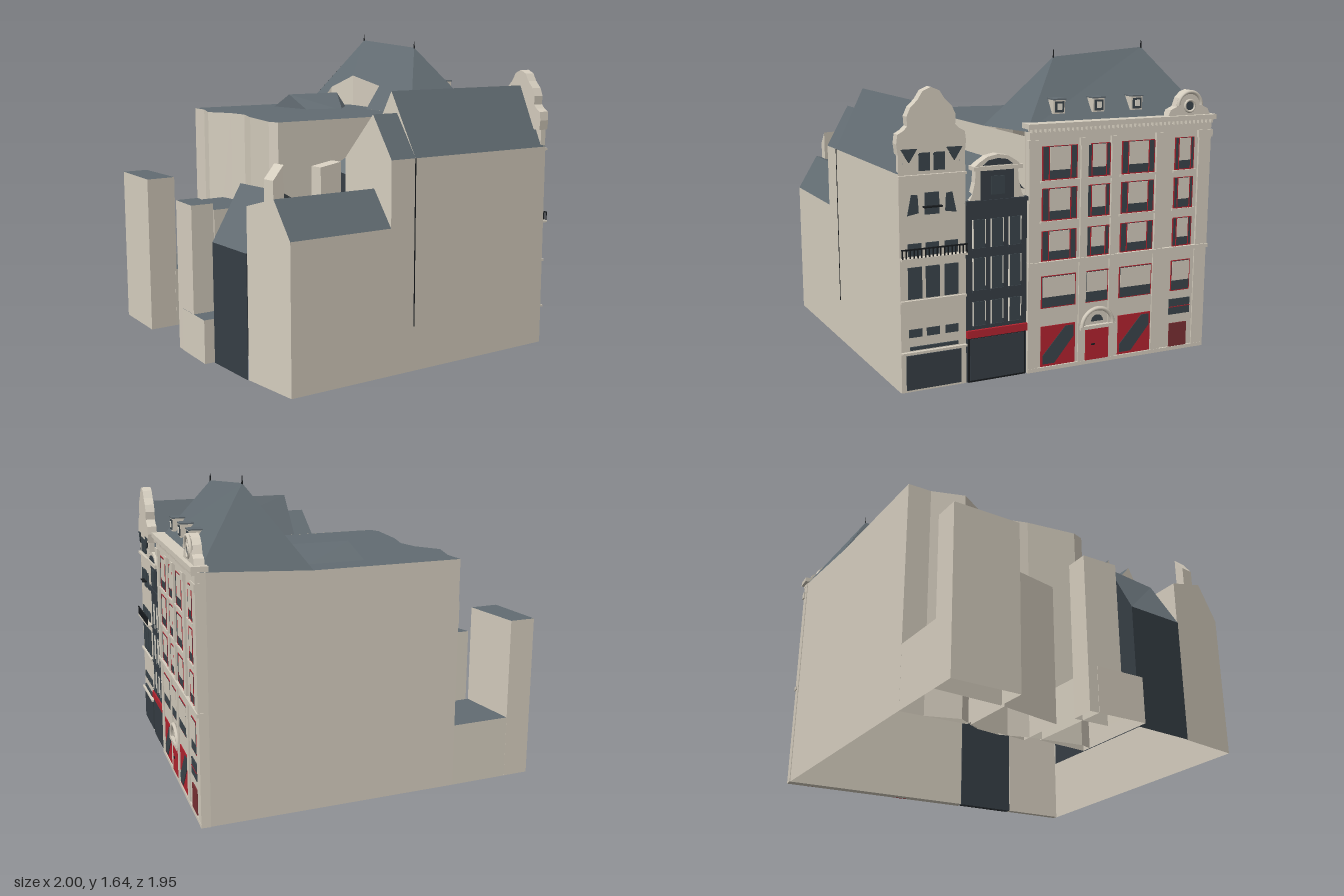
import * as THREE from 'three';
import { ConvexGeometry } from 'three/addons/geometries/ConvexGeometry.js';

const mat = (name, color, side = THREE.FrontSide) => Object.assign(new THREE.MeshStandardMaterial({ color, side }), { name });
const M = {
  stone: mat('stone', 0xd6cebf, THREE.DoubleSide), slate: mat('slate', 0x626c72, THREE.DoubleSide),
  navy: mat('navy', 0x363e45, THREE.DoubleSide), glass: mat('glass', 0x3b454b), red: mat('red', 0xb4232f),
  maroon: mat('maroon', 0x7b3034), black: mat('black', 0x191c1f), cream: mat('cream', 0xe2ddd0),
};

export function createModel() {
  const root = new THREE.Group();
  root.name = 'townhouseRow';
  const add = (parent, name, geo, m) => {
    const mesh = new THREE.Mesh(geo, m);
    mesh.name = name;
    parent.add(mesh);
    return mesh;
  };
  const hull = (name, m, pts) => add(root, name, new ConvexGeometry(pts.map((p) => new THREE.Vector3(...p))), m);
  // open surface made of convex polygons
  const sheets = (name, m, polys) => {
    const pos = [];
    for (const p of polys) for (let i = 1; i < p.length - 1; i++) pos.push(...p[0], ...p[i], ...p[i + 1]);
    const g = new THREE.BufferGeometry().setAttribute('position', new THREE.Float32BufferAttribute(pos, 3));
    g.computeVertexNormals();
    return add(root, name, g, m);
  };
  // run of upright walls through [x, z, top, bottom]
  const walls = (name, m, pts) => sheets(name, m, pts.slice(1).map(([x1, z1, t1, b1 = 0], i) => {
    const [x0, z0, t0, b0 = 0] = pts[i];
    return [[x0, b0, z0], [x1, b1, z1], [x1, t1, z1], [x0, t0, z0]];
  }));
  // roof over a plan outline, with its height given by a rule
  const cover = (name, plan, height) => {
    const g = new THREE.ShapeGeometry(new THREE.Shape(plan.map(([x, z]) => new THREE.Vector2(x, -z)))).rotateX(-Math.PI / 2);
    const p = g.attributes.position;
    for (let i = 0; i < p.count; i++) p.setY(i, height(p.getX(i), p.getZ(i)));
    g.computeVertexNormals();
    return add(root, name, g, M.slate);
  };
  const block = (name, plan, y) => {
    walls(name + 'Walls', M.stone, [...plan, plan[0]].map(([x, z]) => [x, z, y]));
    cover(name + 'Roof', plan, () => y);
  };

  // Depth is measured inwards from the skewed front side wall
  const at = (x, off, y) => [x, y, 0.73 + (x + 0.97) * 0.156 - off];
  // pitched house: section = [offset, height] for outer eave, ridge, inner eave;
  // base = foot of the outer, inner and rear walls (null leaves the wall out); x1 null runs to the street front
  const house = (name, m, x0, x1, sec, base, ridgeX0 = x0) => {
    const a = sec.map(([o, y], i) => at(i === 1 ? ridgeX0 : x0, o, y));
    const b = sec.map(([o, y]) => at(x1 === null ? 0.565 + 0.22 * o : x1, o, y));
    const foot = (p, y) => [p[0], y, p[2]];
    const parts = [];
    for (const [i, k] of [[0, 0], [2, 1]])
      if (base[k] !== null) parts.push([foot(a[i], base[k]), foot(b[i], base[k]), b[i], a[i]]);
    parts.push([foot(a[0], base[2]), a[0], a[2], foot(a[2], base[2])]);
    sheets(name + 'Walls', m, parts);
    sheets(name + 'RearGable', ridgeX0 === x0 ? m : M.slate, [a]);
    sheets(name + 'Roof', M.slate, [[a[0], a[1], b[1], b[0]], [a[1], a[2], b[2], b[1]]]);
  };
  house('gableHouse', M.stone, -0.28, null, [[0, 1.07], [0.17, 1.385], [0.33, 1.08]], [0, 0.88, 0.95]);
  house('gableHouseStep', M.stone, -0.42, -0.28, [[0, 1.07], [0.13, 1.28], [0.33, 1.05]], [0, 0.5, 0.7]);
  house('gableHouseRear', M.stone, -0.97, -0.42, [[0, 0.74], [0.12, 0.92], [0.33, 0.86]], [0, 0, 0]);
  house('darkHouse', M.navy, -0.26, null, [[0.33, 0.9], [0.515, 1.1], [0.655, 0.95]], [null, null, 0.5], -0.12);
  hull('wallJoint', M.black, [0.23, 1.07].flatMap((y) => [-0.002, 0.002].flatMap((o) => [at(-0.282, o, y), at(-0.277, o, y)])));
  // dark rear wing with a cross ridge
  const wing = { nw: [-0.95, 0.63, 0.08], sw: [-0.975, 0.63, 0.4], nr: [-0.79, 0.915, 0.105], sr: [-0.79, 0.915, 0.43],
    ne: [-0.27, 0.6, 0.185], se: [-0.27, 0.6, 0.51] };
  const ground = ([x, , z]) => [x, 0, z];
  sheets('rearWingWalls', M.navy, [[ground(wing.nw), ground(wing.ne), wing.ne, wing.nr, wing.nw],
    [ground(wing.nw), wing.nw, wing.sw, ground(wing.sw)]]);
  sheets('rearWingRoof', M.slate, [[wing.nw, wing.nr, wing.sr, wing.sw], [wing.nr, wing.ne, wing.se, wing.sr]]);
  // slanted chimney walls at the rear
  for (const [x0, x1, o, y0, y1] of [[-0.95, -0.895, 0.15, 1.0, 1.07], [-0.6, -0.485, 0.28, 1.02, 1.04]])
    hull('chimney', M.stone, [o, o + 0.07].flatMap((d) => [at(x0, d, 0.85), at(x1, d, 0.85), at(x0, d, y0), at(x1, d, y1)]));

  // Corner building: back wall, stepped yard wall, and the wall above the dark house
  const top = 1.21;
  const steps = [[-0.39, -0.905], [-0.41, -0.78], [-0.49, -0.62], [-0.43, -0.48], [-0.43, -0.35], [-0.5, -0.2], [-0.58, 0.07], [-0.57, 0.135]];
  walls('cornerWalls', M.stone, [[0.96, -0.7, 1.24], [0.4, -0.785, top], ...steps.map(([x, z]) => [x, z, top])]);
  walls('cornerPartyWall', M.stone, [[-0.57, 0.135, top, 0.5], [-0.26, 0.186, top, 0.5], [-0.26, 0.186, top, 0.9], [0.71, 0.337, top, 0.9]]);

  // Hipped roof with a cut-out around the rear gable
  const hipY = (x, z) => top + 1.51 * (x - 0.27 + 0.1244 * (z - 0.265));
  const cut = [[0.323, -0.16], [0.41, -0.14], [0.48, -0.45], [0.45, -0.62], [0.384, -0.65]];
  cover('flatRoof', [[0.27, 0.265], ...cut, [0.4, -0.785], ...steps], () => top);
  cover('hippedRoofRear', [[0.27, 0.265], ...cut, [0.4, -0.785], [0.63, -0.51], [0.54, 0.02]], hipY);
  walls('roofCutWalls', M.stone, cut.map(([x, z]) => [x, z, hipY(x, z), top]));
  const r0 = [0.54, hipY(0.54, 0.02), 0.02], r1 = [0.63, hipY(0.63, -0.51), -0.51];
  const s0 = [0.27, top, 0.265], s1 = [0.71, 1.23, 0.325], n0 = [0.4, top, -0.785], n1 = [0.955, 1.24, -0.7];
  sheets('hippedRoof', M.slate, [[s0, s1, r0], [s1, n1, r1, r0], [n1, n0, r1]]);
  for (const [x, y, z] of [r0, r1])
    add(root, 'finial', new THREE.CylinderGeometry(0.002, 0.005, 0.05, 6).translate(x, y + 0.01, z), M.black);
  hull('rearGable', M.slate, [[0.04, 1.2, -0.7], [0.38, 1.2, -0.65], [0.38, 1.2, -0.4], [0.24, 1.2, -0.28],
    [0.05, 1.2, -0.37], [0.05, 1.29, -0.55], [0.38, 1.29, -0.49]]);

  // Yard buildings
  block('rearTower', [[-0.85, -0.97], [-0.71, -0.95], [-0.74, -0.6], [-0.9, -0.62]], 0.86);
  block('yardLow', [[-0.72, -0.951], [-0.385, -0.904], [-0.45, -0.56], [-0.75, -0.6]], 0.33);
  block('yardBlock', [[-0.74, -0.58], [-0.45, -0.54], [-0.45, -0.2], [-0.72, -0.24]], 0.72);
  block('yardColumn', [[-0.95, -0.25], [-0.83, -0.23], [-0.86, -0.04], [-0.98, -0.06]], 0.8);
  block('yardShed', [[-1.0, 0.065], [-0.96, -0.2], [-0.5, -0.14], [-0.52, 0.14]], 0.23);

  // Facade frame: positions along it are given by world z, d is the distance out of the wall
  const facade = (name, [ax, az], [bx, bz]) => {
    const g = new THREE.Group();
    g.name = name;
    const len = Math.hypot(bx - ax, bz - az), k = (az - bz) / len;
    g.position.set(ax, 0, az);
    g.rotation.y = Math.atan2(az - bz, bx - ax);
    root.add(g);
    const u = (z) => (az - z) / k;
    const box = (n, m, z, w, y0, y1, d0, d1) =>
      add(g, n, new THREE.BoxGeometry(w / k, y1 - y0, d1 - d0).translate(u(z), (y0 + y1) / 2, (d0 + d1) / 2), m);
    const plate = (n, m, pts, d0, d1) => add(g, n, new THREE.ExtrudeGeometry(
      new THREE.Shape(pts.map(([z, y]) => new THREE.Vector2(u(z), y))), { depth: d1 - d0, bevelEnabled: false }).translate(0, 0, d0), m);
    return { g, u, box, plate };
  };

  // Corner building facade
  const C = facade('cornerFacade', [0.72, 0.32], [0.965, -0.705]);
  C.box('cornerFront', M.stone, -0.19, 1.02, 0, 1.24, -0.04, 0);
  C.box('beltCourse', M.stone, -0.19, 1.03, 0.555, 0.575, -0.02, 0.018);
  C.box('plinth', M.stone, -0.19, 1.02, 0, 0.02, -0.02, 0.008);
  C.box('frieze', M.stone, -0.19, 1.02, 1.19, 1.23, -0.02, 0.012);
  C.box('cornice', M.stone, -0.19, 1.05, 1.245, 1.27, -0.05, 0.032);
  for (let i = 0; i < 42; i++) C.box('dentil', M.stone, 0.31 - i * 0.0245, 0.012, 1.226, 1.246, 0, 0.026);
  for (const [z, w] of [[0.295, 0.055], [0.025, 0.04], [-0.145, 0.04], [-0.405, 0.05], [-0.665, 0.07]]) {
    C.box('pilaster', M.stone, z, w, 0.57, 1.17, -0.01, 0.012);
    C.box('capital', M.stone, z, w + 0.014, 1.15, 1.19, -0.01, 0.018);
    C.box('pier', M.stone, z, w, 0, 0.56, -0.01, 0.007);
  }
  const bays = [[0.156, 0.19], [-0.057, 0.13], [-0.28, 0.19], [-0.55, 0.115]];
  for (const [z, w] of bays) {
    for (const [y0, y1] of [[0.985, 1.155], [0.78, 0.945], [0.575, 0.73]]) {
      C.box('windowFrame', M.red, z, w, y0, y1, -0.002, 0.003);
      C.box('windowGlass', M.glass, z, w - 0.012, y0 + 0.006, y1 - 0.003, -0.001, 0.005);
      for (const s of [-1, 1]) C.box('windowMullion', M.red, z + s * w * 0.31, 0.005, y0, y1, 0, 0.007);
      C.box('windowBlind', M.stone, z, w * 0.58, y0 + 0.05, y1 - 0.004, 0, 0.007);
      C.box('windowSill', M.stone, z, w + 0.02, y0 - 0.012, y0, 0, 0.012);
    }
    C.box('lowerWindowFrame', M.red, z, w, 0.33, 0.498, -0.002, 0.003);
    C.box('lowerWindowGlass', M.glass, z, w - 0.01, 0.335, 0.494, -0.001, 0.005);
    C.box('lowerWindowBlind', M.stone, z, w - 0.012, 0.388, 0.492, 0, 0.007);
  }
  for (const z of [0.156, -0.28]) {
    C.box('shopWindow', M.red, z, 0.19, 0.022, 0.235, -0.002, 0.004);
    C.plate('shopGlass', M.glass, [[z + 0.085, 0.035], [z + 0.02, 0.035], [z - 0.085, 0.165], [z - 0.085, 0.225], [z - 0.04, 0.225], [z + 0.085, 0.08]], 0, 0.007);
  }
  C.box('mainDoor', M.red, -0.063, 0.13, 0, 0.19, 0, 0.008);
  C.box('doorHandle', M.black, -0.04, 0.02, 0.1, 0.108, 0.004, 0.012);
  add(C.g, 'doorArch', new THREE.TorusGeometry(0.09, 0.012, 6, 16, Math.PI).translate(C.u(-0.063), 0.205, 0.01), M.stone);
  add(C.g, 'doorFanlight', new THREE.CircleGeometry(0.035, 12, 0, Math.PI).translate(C.u(-0.063), 0.225, 0.004), M.glass);
  C.box('doorLintel', M.stone, -0.063, 0.2, 0.19, 0.208, 0, 0.02);
  C.box('sideDoor', M.maroon, -0.545, 0.105, 0, 0.15, 0, 0.006);
  C.box('sideWindow', M.glass, -0.55, 0.125, 0.2, 0.285, 0, 0.006);
  C.box('sideWindowBar', M.red, -0.55, 0.125, 0.24, 0.244, 0, 0.008);
  for (const z of [0.14, -0.075, -0.29]) {
    C.box('dormer', M.stone, z, 0.062, 1.305, 1.373, -0.13, -0.045);
    C.box('dormerRoof', M.slate, z, 0.07, 1.373, 1.38, -0.14, -0.04);
    C.box('dormerWindow', M.glass, z, 0.048, 1.312, 1.366, -0.05, -0.041);
    C.box('dormerPane', M.cream, z, 0.026, 1.325, 1.356, -0.045, -0.038);
  }
  const lz = -0.565;
  C.plate('roundGable', M.stone, [[lz + 0.125, 1.265], [lz + 0.11, 1.3], [lz + 0.075, 1.315], [lz + 0.06, 1.36], [lz + 0.03, 1.39],
    [lz, 1.4], [lz - 0.04, 1.385], [lz - 0.065, 1.355], [lz - 0.08, 1.315], [lz - 0.11, 1.3], [lz - 0.125, 1.265]], -0.04, 0.01);
  add(C.g, 'gableHood', new THREE.TorusGeometry(0.07, 0.01, 6, 16, Math.PI).translate(C.u(lz), 1.32, 0.012), M.stone);
  add(C.g, 'ovalWindow', new THREE.CircleGeometry(0.026, 14).translate(C.u(lz), 1.318, 0.013), M.glass);
  add(C.g, 'ovalFrame', new THREE.TorusGeometry(0.03, 0.007, 6, 14).translate(C.u(lz), 1.318, 0.013), M.stone);

  // Dark house facade
  const P = [0.565, 0.968], Q = [0.715, 0.31];
  const D = facade('darkFacade', P, Q);
  D.box('darkFront', M.navy, 0.482, 0.316, 0, 0.915, -0.03, 0);
  const neck = [[0.63, 0.9], [0.61, 0.94], [0.595, 1.0], [0.59, 1.07], [0.375, 1.07], [0.37, 1.0], [0.355, 0.94], [0.335, 0.9]];
  D.plate('neckScrolls', M.stone, neck, -0.04, 0.004);
  D.box('neckGable', M.navy, 0.482, 0.17, 0.9, 1.07, -0.03, 0.01);
  D.box('neckCornice', M.stone, 0.482, 0.25, 1.06, 1.08, -0.045, 0.025);
  D.plate('curvedPediment', M.stone, [[0.6, 1.08], [0.575, 1.1], [0.535, 1.125], [0.482, 1.135], [0.43, 1.125], [0.39, 1.1], [0.365, 1.08]], -0.04, 0.015);
  D.plate('pedimentPanel', M.navy, [[0.56, 1.084], [0.53, 1.108], [0.482, 1.116], [0.435, 1.108], [0.405, 1.084]], 0.01, 0.019);
  D.box('atticWindow', M.glass, 0.482, 0.07, 0.94, 1.03, 0.01, 0.016);
  D.box('darkCornice', M.navy, 0.482, 0.316, 0.895, 0.915, 0, 0.016);
  for (const z of [0.575, 0.482, 0.388]) for (const [y0, y1] of [[0.68, 0.82], [0.47, 0.63], [0.29, 0.41]]) {
    D.box('darkWindow', M.glass, z, 0.062, y0, y1, 0, 0.005);
    D.box('windowEdge', M.cream, z + 0.031, 0.005, y0, y1, 0, 0.008);
    D.box('windowEdge', M.cream, z - 0.031, 0.004, y0 + 0.02, y1, 0, 0.008);
    D.box('darkSill', M.navy, z, 0.07, y0 - 0.012, y0, 0, 0.01);
  }
  D.box('awning', M.red, 0.482, 0.316, 0.23, 0.268, -0.01, 0.014);
  D.box('darkShopFrame', M.black, 0.482, 0.3, 0, 0.228, 0, 0.006);
  D.box('darkShopFront', M.navy, 0.482, 0.285, 0.01, 0.224, 0, 0.009);

  // Gabled stone house facade
  const G = facade('gableFacade', P, Q);
  G.box('gableFront', M.stone, 0.804, 0.325, 0, 1.16, -0.03, 0);
  const half = [[0.162, 1.16], [0.168, 1.21], [0.162, 1.255], [0.135, 1.27], [0.115, 1.29], [0.118, 1.335], [0.1, 1.375], [0.065, 1.41], [0.04, 1.45], [0, 1.467]];
  const mirror = half.slice(0, -1).reverse().map(([w, y]) => [-w, y]);
  G.plate('ornateGable', M.stone, [...half, ...mirror].map(([w, y]) => [0.808 + w, y]), -0.045, 0.008);
  for (const s of [-1, 1]) {
    G.plate('sideScroll', M.glass, [[0.808 + s * 0.15, 1.185], [0.808 + s * 0.07, 1.185], [0.808 + s * 0.11, 1.12]], 0.002, 0.011);
    G.box('gableWindow', M.glass, 0.808 + s * 0.036, 0.052, 1.08, 1.165, 0, 0.011);
    G.plate('loftShutter', M.glass, [[0.808 + s * 0.12, 0.87], [0.808 + s * 0.065, 0.88], [0.808 + s * 0.07, 0.965], [0.808 + s * 0.1, 0.97]], 0, 0.005);
  }
  G.box('gableString', M.stone, 0.804, 0.33, 1.05, 1.062, 0, 0.015);
  G.box('loftDoor', M.glass, 0.808, 0.07, 0.87, 0.975, 0, 0.005);
  G.box('loftRail', M.black, 0.808, 0.09, 0.905, 0.912, 0, 0.025);
  for (const z of [0.895, 0.808, 0.715]) {
    G.box('balconyDoor', M.glass, z, 0.065, 0.675, 0.735, 0, 0.005);
    G.box('middleWindow', M.glass, z, 0.068, 0.465, 0.62, 0, 0.005);
    G.box('smallWindow', M.glass, z, 0.065, 0.275, 0.315, 0, 0.005);
  }
  G.box('windowLedge', M.stone, 0.804, 0.325, 0.448, 0.46, 0, 0.014);
  G.box('balconyFloor', M.stone, 0.804, 0.325, 0.66, 0.67, 0, 0.03);
  G.box('balconyRail', M.black, 0.804, 0.325, 0.71, 0.717, 0.024, 0.03);
  for (let i = 0; i < 18; i++) G.box('baluster', M.black, 0.962 - i * 0.0186, 0.006, 0.67, 0.715, 0.025, 0.029);
  G.box('shopSign', M.glass, 0.804, 0.24, 0.212, 0.228, 0, 0.009);
  G.box('shopCornice', M.stone, 0.804, 0.325, 0.195, 0.205, 0, 0.018);
  G.box('shopFront', M.navy, 0.806, 0.275, 0.012, 0.185, 0, 0.007);
  return root;
}
